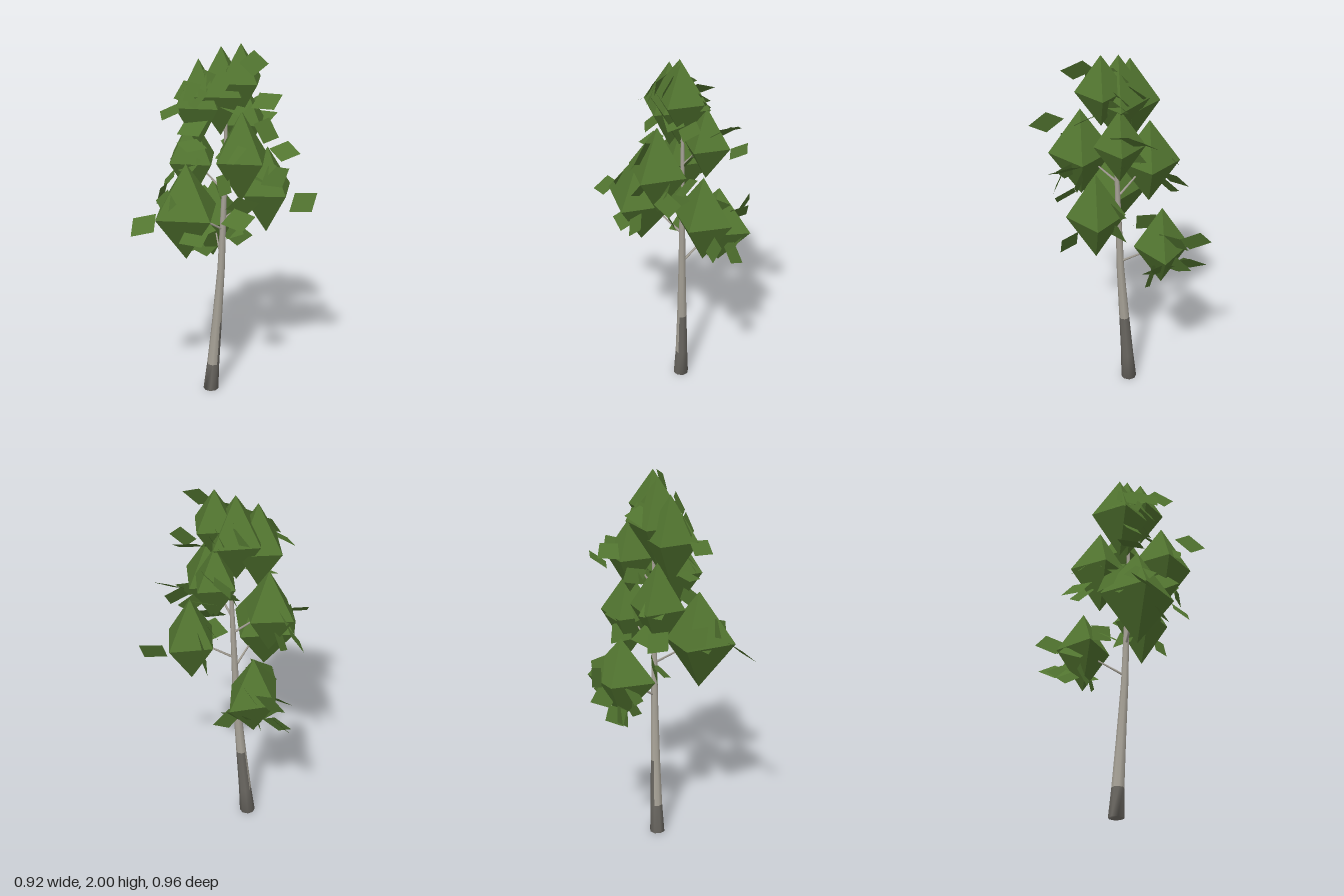
import * as THREE from 'three';

const mat = (name, color) => {
  const m = new THREE.MeshStandardMaterial({ color });
  m.name = name;
  return m;
};

// crown clumps: centre, then half sizes
const CLUMPS = [
  [0, 1.135, 0.155, 0.2, 0.265, 0.2],
  [-0.215, 0.95, -0.2, 0.145, 0.225, 0.19],
  [0.13, 1.195, -0.285, 0.15, 0.24, 0.165],
  [0.19, 1.44, -0.055, 0.165, 0.242, 0.165],
  [-0.165, 1.35, -0.015, 0.16, 0.235, 0.15],
  [-0.065, 1.68, 0.02, 0.155, 0.235, 0.15],
  [0, 1.74, -0.075, 0.16, 0.235, 0.175],
  [0.005, 1.555, -0.23, 0.13, 0.2, 0.135],
  [0.09, 1.81, -0.13, 0.13, 0.19, 0.135],
];

// loose leaves: centre, then x and y of the unit normal
const LEAVES = [
  [0.36, 1.62, -0.07, 0.1, 0.25],
  [-0.38, 1.01, -0.27, 0.05, 0.3],
  [-0.37, 0.81, -0.17, -0.2, 0.6],
  [-0.33, 0.79, -0.15, 0.1, 0.4],
  [0.2, 1.92, -0.12, 0.2, 0.4],
  [0.28, 1.45, -0.27, 0.2, 0.8],
  [0.27, 1.13, -0.42, 0.65, 0.35],
  [-0.04, 1.53, -0.39, 0.2, 0.85],
  [-0.04, 1.11, 0.4, 0.5, 0.75],
  [0.31, 1.34, -0.18, 0.9, 0.35],
  [0.27, 1.14, 0.03, 0.5, 0.6],
  [-0.3, 1.21, 0.035, -0.5, 0.6],
  [-0.16, 1.2, 0.19, -0.8, 0.3],
  [-0.085, 1.66, 0.19, -0.2, 0.85],
  [-0.29, 0.9, -0.1, 0.1, 0.7],
  [-0.15, 0.84, -0.32, 0.9, 0.1],
  [-0.1, 1.6, -0.3, -0.4, 0.8],
  [0.2, 1.34, -0.18, 0.9, 0.2],
  [0.15, 1.15, -0.1, 0.7, -0.4],
  [-0.1, 0.97, -0.02, 0.3, 0.8],
  [0.1, 1.83, 0.01, 0.2, 0.5],
  [-0.02, 1.48, 0.1, 0.1, 0.97],
  [-0.15, 1.0, -0.04, 0.3, 0.3],
  [0.18, 1.7, -0.23, 0.4, 0.8],
  [-0.22, 0.8, -0.14, 0.8, 0.2],
];

// stem sections: x, y, z, radius
const RINGS = [
  [-0.06, 0, -0.06, 0.042],
  [-0.05, 0.16, -0.068, 0.034],
  [-0.032, 0.42, -0.079, 0.027],
  [-0.01, 0.75, -0.09, 0.02],
  [0.012, 1.4, -0.1, 0.011],
  [0.012, 1.75, -0.1, 0.005],
];
const SIDES = 8;

// tapered stem; group 0 is the dark foot, higher at the back, group 1 the rest
function stemGeometry() {
  const pos = [], dark = [], pale = [];
  for (const [x, y, z, r] of RINGS)
    for (let i = 0; i < SIDES; i++) {
      const a = (i / SIDES) * Math.PI * 2;
      pos.push(x + r * Math.sin(a), y, z + r * Math.cos(a));
    }
  for (let k = 0; k < RINGS.length - 1; k++)
    for (let i = 0; i < SIDES; i++) {
      const a = k * SIDES + i, b = k * SIDES + (i + 1) % SIDES;
      const back = Math.cos(((i + 0.5) / SIDES) * Math.PI * 2) < 0;
      const list = k === 0 || (k === 1 && back) ? dark : pale;
      list.push(a, b, b + SIDES, a, b + SIDES, a + SIDES);
    }
  for (let i = 1; i < SIDES - 1; i++) dark.push(0, i + 1, i);
  const g = new THREE.BufferGeometry();
  g.setAttribute('position', new THREE.Float32BufferAttribute(pos, 3));
  g.setIndex([...dark, ...pale]);
  g.addGroup(0, dark.length, 0);
  g.addGroup(dark.length, pale.length, 1);
  g.computeVertexNormals();
  return g;
}

// point on the stem's centre line at a given height
function stemAt(y) {
  let k = 0;
  while (k < RINGS.length - 2 && RINGS[k + 1][1] < y) k++;
  const a = new THREE.Vector3(...RINGS[k]), b = new THREE.Vector3(...RINGS[k + 1]);
  return a.clone().lerp(b, (y - a.y) / (b.y - a.y));
}

// small seeded generator, 0 to 1
function seeded(seed) {
  return () => (seed = (seed * 16807) % 2147483647) / 2147483647;
}

export function createModel() {
  const group = new THREE.Group();
  const bark = mat('pale bark', 0xa8a398);
  const darkBark = mat('dark bark', 0x6b6862);
  const green = mat('leaf green', 0x527530);
  green.side = THREE.DoubleSide;
  const rand = seeded(421);
  const add = (name, geo, m) => {
    const mesh = new THREE.Mesh(geo, m);
    mesh.name = name;
    group.add(mesh);
    return mesh;
  };

  add('trunk', stemGeometry(), [darkBark, bark]);

  // a leaf is a small flat lozenge
  const leaf = new THREE.ShapeGeometry(new THREE.Shape([
    new THREE.Vector2(-0.085, -0.03), new THREE.Vector2(0.03, -0.06),
    new THREE.Vector2(0.085, 0.03), new THREE.Vector2(-0.03, 0.06),
  ]));
  const addLeaf = (x, y, z, nx, ny) => {
    const mesh = add('leaf', leaf, green);
    mesh.position.set(x, y, z);
    mesh.lookAt(x + nx, y + ny, z + Math.sqrt(Math.max(0, 1 - nx * nx - ny * ny)));
    mesh.rotateZ(rand() - 0.5);
  };
  for (const l of LEAVES) addLeaf(...l);

  const up = new THREE.Vector3(0, 1, 0);
  for (const [x, y, z, rx, ry, rz] of CLUMPS) {
    // diamond crown clump
    const geo = new THREE.OctahedronGeometry(1, 0);
    geo.scale(rx, ry, rz);
    geo.computeVertexNormals();
    add('foliageClump', geo, green).position.set(x, y, z);

    // thin branch carrying the clump
    const end = new THREE.Vector3(x, y, z);
    const start = stemAt(Math.min(y - 0.16, 1.6));
    const dir = end.clone().sub(start);
    const branch = add('branch', new THREE.CylinderGeometry(0.003, 0.007, dir.length(), 5), bark);
    branch.position.copy(start).addScaledVector(dir, 0.5);
    branch.quaternion.setFromUnitVectors(up, dir.normalize());

    // leaves lying close to the clump's faces
    for (let i = 0; i < 3; i++) {
      const a = rand() * Math.PI * 2, sx = Math.sin(a), sz = Math.cos(a);
      addLeaf(x + sx * rx * 0.6, y + (rand() - 0.6) * ry, z + sz * rz * 0.6, sx * 0.7, 0.3 + rand() * 0.4);
    }
  }
  return group;
}
